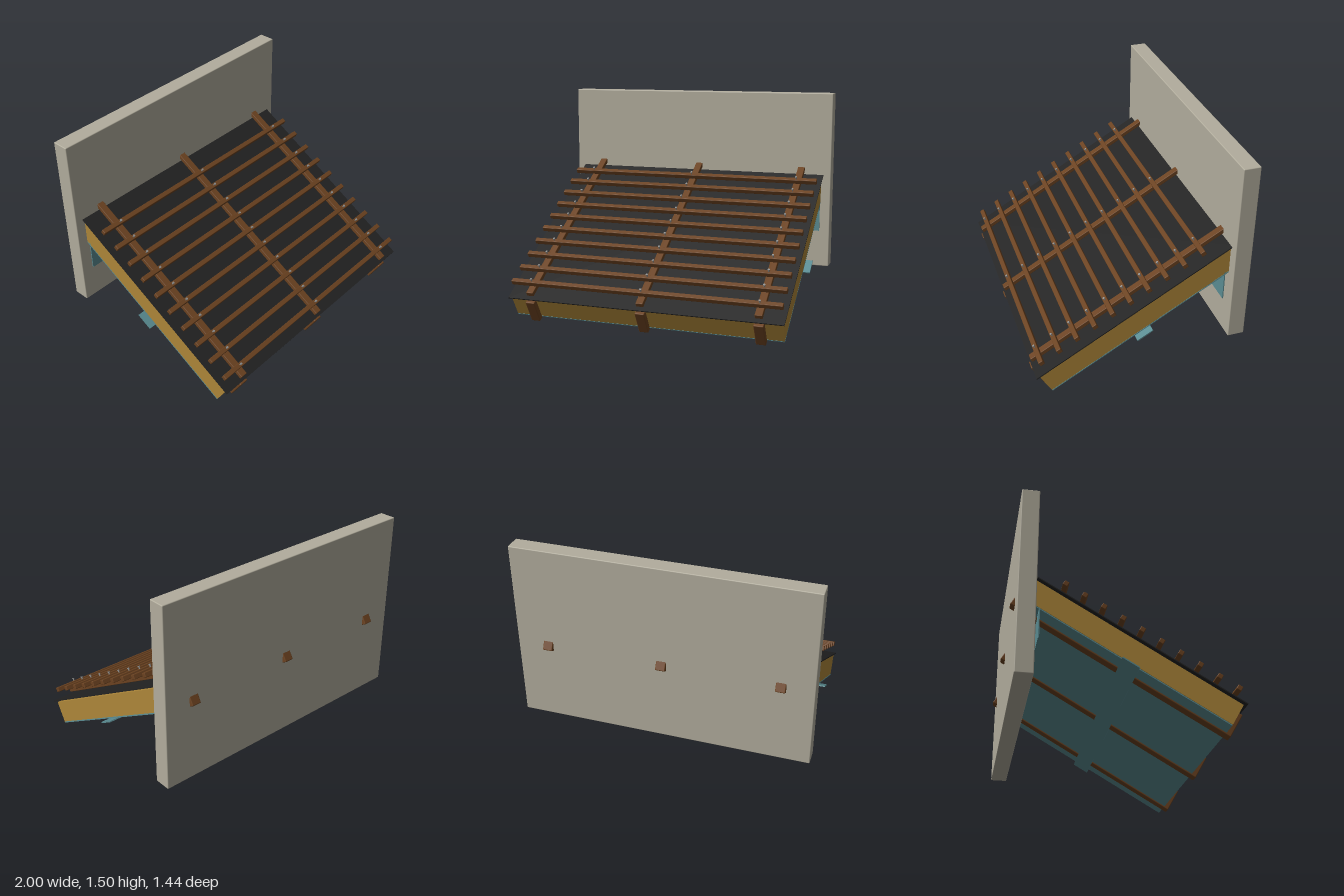
import * as THREE from 'three';
import { RoundedBoxGeometry } from 'three/addons/geometries/RoundedBoxGeometry.js';

const mat = (name, color) => {
  const m = new THREE.MeshStandardMaterial({ color });
  m.name = name;
  return m;
};

export function createModel() {
  const concrete = mat('concrete', 0xb2ad9d);
  const wood = mat('wood', 0x6b4220);
  const insulationYellow = mat('insulationYellow', 0xae8739);
  const membraneBlack = mat('membraneBlack', 0x222222);
  const barrierTeal = mat('barrierTeal', 0x5a8c92);
  const steel = mat('steel', 0x8e8e8c);

  const model = new THREE.Group();
  model.name = 'roofToWallJunction';

  // Masonry wall
  const wall = new THREE.Mesh(new RoundedBoxGeometry(2, 1.27, 0.115, 2, 0.006), concrete);
  wall.name = 'wall';
  wall.position.set(0, 0.875, -0.6325);
  model.add(wall);

  // Sealing strip hanging in front of the wall under the roof
  const wallStrip = new THREE.Mesh(new THREE.BoxGeometry(1.86, 0.21, 0.007), barrierTeal);
  wallStrip.name = 'wallSealStrip';
  wallStrip.position.set(0, 0.615, -0.549);
  model.add(wallStrip);

  // Roof pitched at 30 degrees: local y is the layer height, local -z runs up the slope
  const roof = new THREE.Group();
  roof.name = 'roof';
  roof.rotation.x = Math.PI / 6;
  roof.position.set(0, 0.003, 0.635);
  model.add(roof);

  // Box layer spanning s0..s1 up the slope and n0..n1 in height
  function layer(name, material, x, width, s0, s1, n0, n1, bevel = 0) {
    const size = [width, n1 - n0, s1 - s0];
    const geo = bevel ? new RoundedBoxGeometry(...size, 2, bevel) : new THREE.BoxGeometry(...size);
    const mesh = new THREE.Mesh(geo, material);
    mesh.name = name;
    mesh.position.set(x, (n0 + n1) / 2, -(s0 + s1) / 2);
    roof.add(mesh);
  }

  layer('insulation', insulationYellow, 0, 1.86, 0.035, 1.53, 0.02, 0.171);
  layer('vapourBarrier', barrierTeal, 0, 1.86, 0.035, 1.53, 0.011, 0.018);
  layer('barrierTape', barrierTeal, 0, 1.95, 0.675, 0.795, -0.003, 0.005);
  layer('roofMembrane', membraneBlack, 0, 1.89, 0.015, 1.53, 0.182, 0.189);

  // Rafters with counter battens above them
  const rafterX = [-0.783, 0, 0.783];
  for (const x of rafterX) {
    layer('rafter', wood, x, 0.066, 0, 1.565, 0, 0.172, 0.006);
    layer('counterBatten', wood, x, 0.05, 0.035, 1.54, 0.203, 0.233, 0.004);
  }

  // Cross battens, nailed at every counter batten
  const shank = new THREE.CylinderGeometry(0.005, 0.005, 0.08, 8);
  const head = new THREE.CylinderGeometry(0.008, 0.008, 0.005, 10);
  for (let i = 0; i < 10; i++) {
    const s = 0.104 + i * 0.1368;
    layer('crossBatten', wood, 0, 1.86, s - 0.0165, s + 0.0165, 0.244, 0.277, 0.004);
    for (const x of rafterX) {
      const nail = new THREE.Group();
      nail.name = 'nail';
      const top = new THREE.Mesh(head, steel);
      top.position.y = 0.04;
      nail.add(new THREE.Mesh(shank, steel), top);
      nail.position.set(x, 0.254, -s);
      roof.add(nail);
    }
  }

  return model;
}
